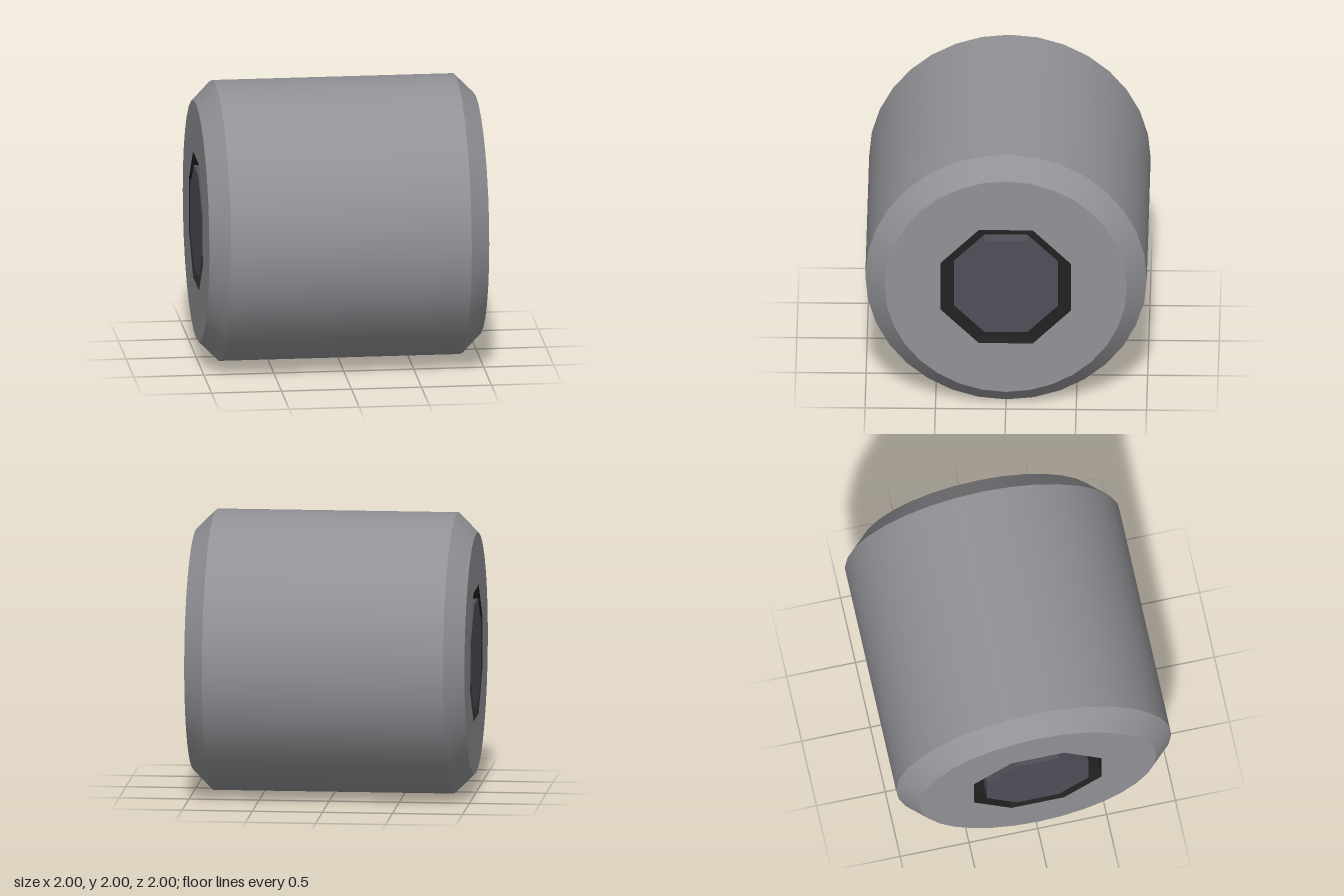
import * as THREE from 'three';

const SIDES = 32, R = 1, CAP_R = 0.86, HALF = 1, BEVEL = 0.14;
const SOCKET_R = 0.5, HUB_R = 0.4, DEPTH = 0.1;

const metal = new THREE.MeshStandardMaterial({ color: 0x929196 });
metal.name = 'grey metal';
const black = new THREE.MeshStandardMaterial({ color: 0x222222, flatShading: true, side: THREE.DoubleSide });
black.name = 'black groove';
const hubGrey = new THREE.MeshStandardMaterial({ color: 0x504f59, flatShading: true });
hubGrey.name = 'dark hub grey';

function add(parent, name, geometry, material, z = 0) {
  const mesh = new THREE.Mesh(geometry, material);
  mesh.name = name;
  mesh.position.z = z;
  parent.add(mesh);
  return mesh;
}

// cylinder lying along z
function tube(rFront, rBack, length, sides, open, start = 0) {
  return new THREE.CylinderGeometry(rFront, rBack, length, sides, 1, open, start).rotateX(Math.PI / 2);
}

function polygon(radius, sides, start) {
  return Array.from({ length: sides }, (_, i) => {
    const a = start + (i / sides) * Math.PI * 2;
    return new THREE.Vector2(Math.cos(a) * radius, Math.sin(a) * radius);
  });
}

// one end, facing +z: bevel, cap with octagonal opening, groove and hub
function createEnd(name) {
  const end = new THREE.Group();
  end.name = name;
  const turn = Math.PI / 8;
  add(end, 'bevel', tube(CAP_R, R, BEVEL, SIDES, true), metal, HALF - BEVEL / 2);
  const cap = new THREE.Shape(polygon(CAP_R, SIDES, 0));
  cap.holes.push(new THREE.Path(polygon(SOCKET_R, 8, turn)));
  add(end, 'cap', new THREE.ShapeGeometry(cap), metal, HALF);
  add(end, 'grooveWall', tube(SOCKET_R, SOCKET_R, DEPTH, 8, true, turn), black, HALF - DEPTH / 2);
  add(end, 'grooveFloor', new THREE.RingGeometry(HUB_R, SOCKET_R, 8, 1, turn), black, HALF - DEPTH);
  add(end, 'hub', tube(HUB_R, HUB_R, DEPTH, 8, false, turn), hubGrey, HALF - DEPTH / 2);
  return end;
}

export function createModel() {
  const model = new THREE.Group();
  model.name = 'roller';

  const barrel = add(model, 'barrel', tube(R, R, 2 * (HALF - BEVEL), SIDES, true), metal);
  barrel.rotation.y = Math.PI / 2;

  for (const [name, side] of [['leftEnd', 1], ['rightEnd', -1]]) {
    const end = createEnd(name);
    end.rotation.y = side * Math.PI / 2;
    model.add(end);
  }

  model.position.y = R;
  const root = new THREE.Group();
  root.add(model);
  return root;
}
